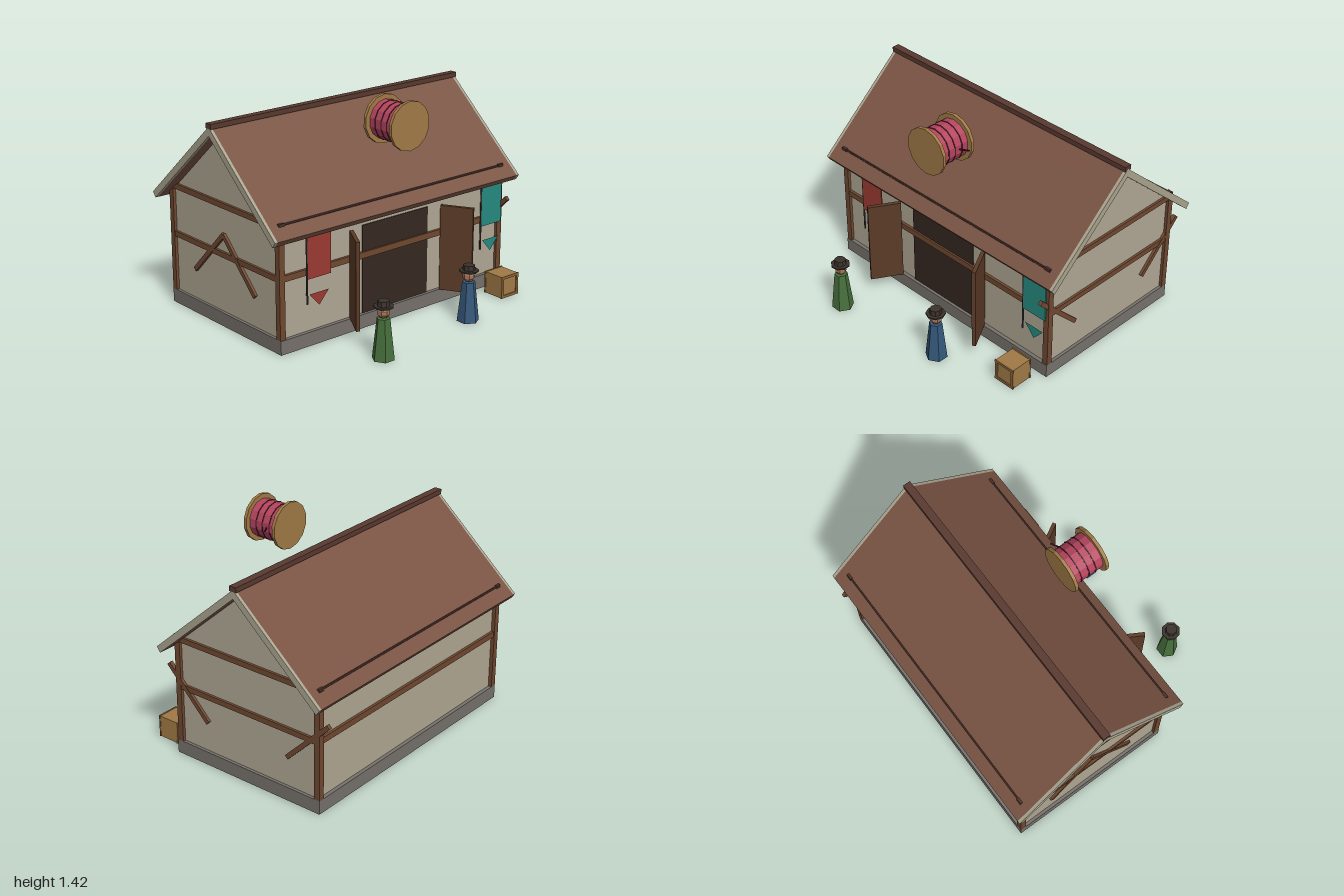
import * as THREE from 'three';

const C = {
  wall: 0xb0a793, stone: 0x76716b, timber: 0x6f4830, door: 0x5c3b27, dark: 0x352820,
  roof: 0x7a5444, ridge: 0x58392f, rod: 0x4a3028, barge: 0xaaa48f, wood: 0xa07a46,
  crateFrame: 0x8c673a, thread: 0xb5455e, band: 0x4a1a28, red: 0x9c3a32, teal: 0x268a80,
  pole: 0x3c3a38, hat: 0x3a322b, skin: 0xa8755a, green: 0x466e3c, blue: 0x34587a,
};
const MID = -0.205; // z of the ridge line

const mats = {};
function mat(color, side = THREE.FrontSide) {
  const key = color + '/' + side;
  return (mats[key] ??= new THREE.MeshStandardMaterial({ color, side, flatShading: true }));
}

function add(parent, name, geo, color, x = 0, y = 0, z = 0, side) {
  const m = new THREE.Mesh(geo, mat(color, side));
  m.name = name;
  m.position.set(x, y, z);
  parent.add(m);
  return m;
}

// Box given by its minimum and maximum on each axis
function block(parent, name, color, x0, x1, y0, y1, z0, z1) {
  return add(parent, name, new THREE.BoxGeometry(x1 - x0, y1 - y0, z1 - z0), color,
    (x0 + x1) / 2, (y0 + y1) / 2, (z0 + z1) / 2);
}

// Profile of [z, y] points extruded along x
function prism(parent, name, color, points, x0, x1) {
  const shape = new THREE.Shape(points.map(([z, y]) => new THREE.Vector2(z, y)));
  const geo = new THREE.ExtrudeGeometry(shape, { depth: x1 - x0, bevelEnabled: false });
  geo.rotateY(-Math.PI / 2).translate(x1, 0, 0);
  return add(parent, name, geo, color);
}

function createHouse() {
  const g = new THREE.Group();
  g.name = 'house';
  block(g, 'foundation', C.stone, -0.92, 0.92, 0, 0.09, -0.77, 0.36);
  prism(g, 'walls', C.wall,
    [[0.335, 0.08], [0.335, 0.79], [MID, 1.265], [-0.745, 0.79], [-0.745, 0.08]], -0.9, 0.9);
  block(g, 'doorway', C.dark, -0.27, 0.27, 0.09, 0.665, 0.3, 0.341);

  // Timber frame
  for (const s of [-1, 1]) {
    for (const z of [0.335, -0.75])
      block(g, 'cornerPost', C.timber, s * 0.9 - 0.02, s * 0.9 + 0.02, 0.09, 0.805, z - 0.02, z + 0.02);
    for (const y of [0.472, 0.792])
      block(g, 'sideBeam', C.timber, s * 0.9 - 0.016, s * 0.9 + 0.016, y - 0.018, y + 0.018, -0.73, 0.32);
  }
  block(g, 'frontBeam', C.timber, -0.88, 0.88, 0.455, 0.495, 0.32, 0.353);
  block(g, 'backBeam', C.timber, -0.88, 0.88, 0.455, 0.495, -0.763, -0.73);

  // Diagonal braces: [x, z centre, tilt]
  const braces = [[0.906, 0.26, -1], [0.906, -0.675, 1], [-0.906, -0.055, 1], [-0.906, -0.365, -1]];
  for (const [x, z, t] of braces) {
    const b = add(g, 'brace', new THREE.BoxGeometry(0.024, 0.03, 0.44), C.timber, x, 0.447, z);
    b.rotation.x = t * Math.PI / 4;
  }

  // Open door leaves
  for (const s of [-1, 1]) {
    const leaf = add(g, 'doorLeaf', new THREE.BoxGeometry(0.025, 0.57, 0.215), C.door, s * 0.423, 0.375, 0.448);
    leaf.rotation.y = s * Math.PI / 6;
  }
  return g;
}

function createRoof() {
  const g = new THREE.Group();
  g.name = 'roof';
  for (const s of [-1, 1]) {
    const slope = [[0, 1.3], [0.63, 0.745], [0.605, 0.71], [0, 1.243]].map(([d, y]) => [MID + s * d, y]);
    prism(g, 'roofSlope', C.roof, slope, -0.98, 0.98);
    prism(g, 'bargeBoard', C.barge, slope, -1, -0.98);
    prism(g, 'bargeBoard', C.barge, slope, 0.98, 1);

    // Eave rail with end knobs
    const z = MID + s * 0.555;
    const rail = add(g, 'eaveRail', new THREE.CylinderGeometry(0.007, 0.007, 1.84, 6), C.rod, 0, 0.812, z);
    rail.rotation.z = Math.PI / 2;
    for (const e of [-1, 1])
      add(g, 'railEnd', new THREE.BoxGeometry(0.04, 0.02, 0.016), C.rod, e * 0.9, 0.812, z);
  }
  block(g, 'ridgeCap', C.ridge, -1, 1, 1.288, 1.32, MID - 0.025, MID + 0.025);
  return g;
}

// Hanging cloth with a pointed pennant under it, on a pole at its left edge
function createBanner(x, color) {
  const g = new THREE.Group();
  g.name = 'banner';
  add(g, 'bannerCloth', new THREE.BoxGeometry(0.18, 0.295, 0.008), color, 0.092, 0.582, 0);
  const tri = new THREE.Shape([[0.018, 0.335], [0.092, 0.25], [0.166, 0.335]].map((p) => new THREE.Vector2(...p)));
  add(g, 'pennant', new THREE.ShapeGeometry(tri), color, 0, 0, 0, THREE.DoubleSide);
  add(g, 'bannerPole', new THREE.CylinderGeometry(0.006, 0.006, 0.455, 6), C.pole, 0, 0.503, 0);
  g.position.set(x, 0, 0.364);
  return g;
}

// Giant thread spool, axis along z
function createSpool() {
  const g = new THREE.Group();
  g.name = 'spoolSign';
  const disc = (name, r, depth, z, color) => {
    const m = add(g, name, new THREE.CylinderGeometry(r, r, depth, 14), color, 0, 0, z);
    m.rotation.x = Math.PI / 2;
  };
  disc('threadDrum', 0.125, 0.22, 0, C.thread);
  for (const s of [-1, 1]) disc('spoolFlange', 0.156, 0.022, s * 0.115, C.wood);
  for (const z of [-0.057, 0, 0.05]) disc('threadBand', 0.128, 0.007, z, C.band);
  const tail = add(g, 'threadTail', new THREE.BoxGeometry(0.065, 0.008, 0.008), C.band, 0.148, 0, -0.05);
  tail.rotation.y = 0.5;
  g.position.set(0, 1.265, 0.34);
  return g;
}

function createFigure(x, z, turn, coat) {
  const g = new THREE.Group();
  g.name = 'figure';
  add(g, 'coat', new THREE.CylinderGeometry(0.042, 0.071, 0.26, 6), coat, 0, 0.13, 0);
  add(g, 'head', new THREE.SphereGeometry(0.04, 7, 5), C.skin, 0, 0.298, 0);
  add(g, 'hatBrim', new THREE.CylinderGeometry(0.062, 0.062, 0.01, 8), C.hat, 0, 0.333, 0);
  add(g, 'hatCrown', new THREE.CylinderGeometry(0.036, 0.04, 0.035, 8), C.hat, 0, 0.353, 0);
  g.position.set(x, 0, z);
  g.rotation.y = turn;
  return g;
}

function createCrate() {
  const g = new THREE.Group();
  g.name = 'crate';
  add(g, 'crateBox', new THREE.BoxGeometry(0.145, 0.145, 0.145), C.wood, 0, 0.074, 0);
  for (const s of [-1, 1]) {
    for (const y of [0.01, 0.14])
      add(g, 'crateRail', new THREE.BoxGeometry(0.154, 0.018, 0.01), C.crateFrame, 0, y, s * 0.074);
    for (const x of [-0.066, 0.066])
      add(g, 'crateStile', new THREE.BoxGeometry(0.018, 0.112, 0.01), C.crateFrame, x, 0.075, s * 0.074);
  }
  g.position.set(0.78, 0, 0.508);
  return g;
}

export function createModel() {
  const model = new THREE.Group();
  model.name = 'spoolShop';
  model.add(
    createHouse(), createRoof(), createSpool(), createCrate(),
    createBanner(-0.722, C.red), createBanner(0.72, C.teal),
    createFigure(-0.485, 0.78, Math.PI / 6, C.green),
    createFigure(0.298, 0.69, 0, C.blue),
  );
  return model;
}
